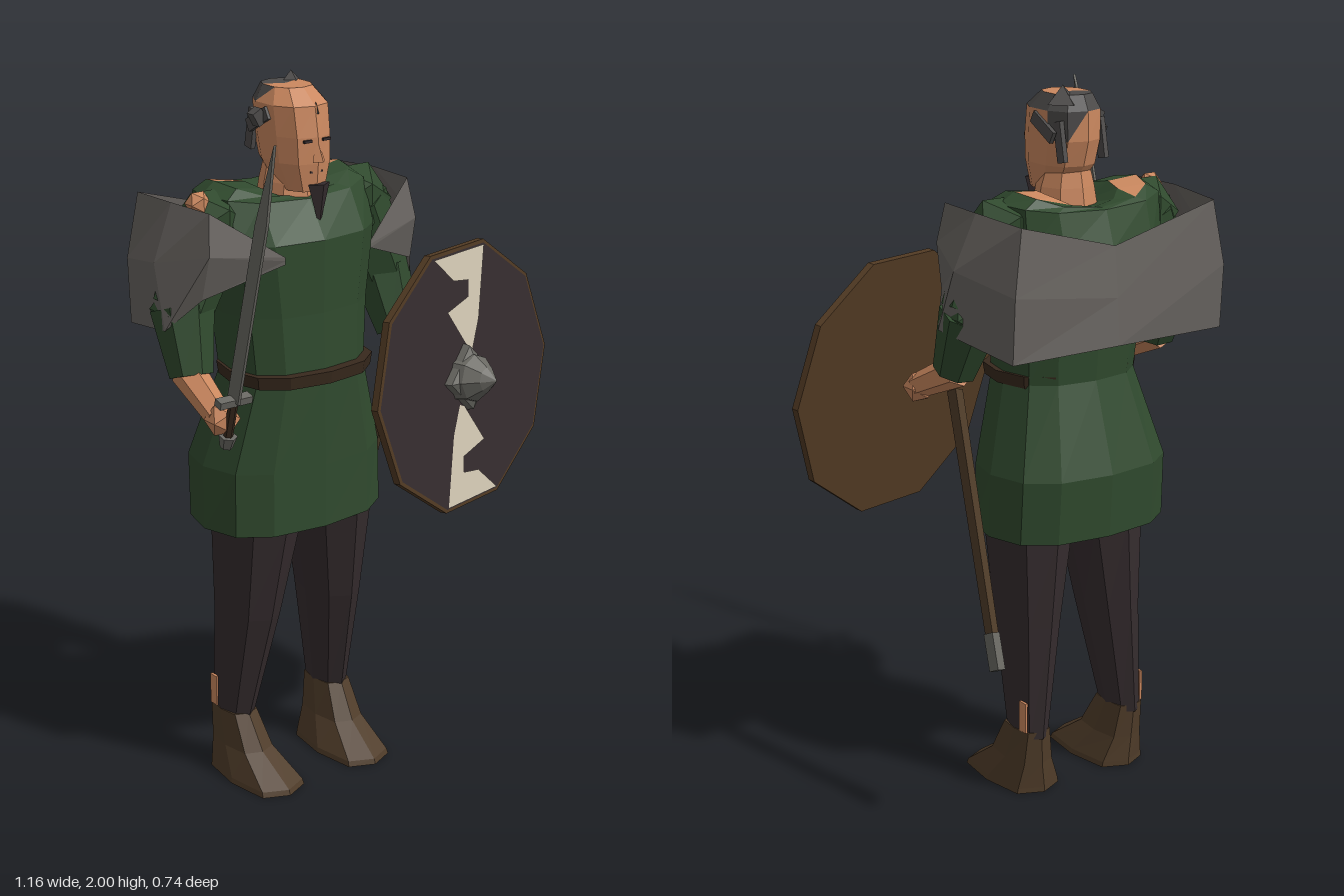
import * as THREE from 'three';

const mat = (name, color) => new THREE.MeshStandardMaterial({ name, color, flatShading: true });

export function createModel() {
  const green = mat('tunic green', 0x304a2e), skin = mat('skin', 0xcb885f), dark = mat('dark cloth', 0x352c2e);
  const leather = mat('boot leather', 0x4f3c29), grey = mat('cloak grey', 0x686460), cream = mat('cream paint', 0xd6cbb6);
  const wood = mat('shield wood', 0x513a23), hair = mat('hair grey', 0x4c4a49), steel = mat('steel', 0x696862);
  const belt = mat('belt brown', 0x38291d);
  grey.side = THREE.DoubleSide;

  const model = new THREE.Group();
  const body = new THREE.Group();
  body.name = 'warrior';
  body.position.x = -0.17;
  model.add(body);

  const add = (parent, name, geo, material, x = 0, y = 0, z = 0) => {
    const m = new THREE.Mesh(geo, material);
    m.name = name;
    m.position.set(x, y, z);
    parent.add(m);
    return m;
  };

  // Capped loft through rings [y, cx, cz, rx, rz, dip at front and back]; pick(x, y, z) chooses a material index per face
  function loft(rings, n, pow = 1, pick = () => 0) {
    const bend = v => Math.sign(v) * Math.abs(v) ** pow;
    const pt = ([y, cx, cz, rx, rz, dip = 0], i) => {
      const a = i / n * Math.PI * 2;
      return [cx + rx * bend(Math.sin(a)), y - dip * Math.cos(a) ** 2, cz + rz * bend(Math.cos(a))];
    };
    const pos = [], geo = new THREE.BufferGeometry();
    const tri = (...t) => {
      const c = [0, 1, 2].map(k => (t[0][k] + t[1][k] + t[2][k]) / 3);
      geo.addGroup(pos.length / 3, 3, pick(...c));
      pos.push(...t.flat());
    };
    const lo = rings[0], hi = rings[rings.length - 1];
    for (let i = 0; i < n; i++) {
      for (let j = 0; j + 1 < rings.length; j++) {
        const a = pt(rings[j], i), b = pt(rings[j], i + 1), c = pt(rings[j + 1], i + 1), d = pt(rings[j + 1], i);
        tri(a, b, c);
        tri(a, c, d);
      }
      tri([lo[1], lo[0], lo[2]], pt(lo, i + 1), pt(lo, i));
      tri([hi[1], hi[0], hi[2]], pt(hi, i), pt(hi, i + 1));
    }
    geo.setAttribute('position', new THREE.Float32BufferAttribute(pos, 3));
    geo.computeVertexNormals();
    return geo;
  }

  // Tapered limb between two points
  function limb(name, a, b, ra, rb, material, n = 6) {
    const p = new THREE.Vector3(...a), q = new THREE.Vector3(...b);
    const d = q.clone().sub(p);
    const m = add(body, name, new THREE.CylinderGeometry(rb, ra, d.length(), n), material);
    m.position.copy(p).add(q).multiplyScalar(0.5);
    m.quaternion.setFromUnitVectors(new THREE.Vector3(0, 1, 0), d.normalize());
    return m;
  }

  // Tunic with a dipped collar and bare patches on the shoulders
  add(body, 'tunic', loft([
    [0.77, 0, -0.1, 0.275, 0.19], [0.95, 0, -0.105, 0.272, 0.195], [1.2, 0, -0.065, 0.2, 0.155],
    [1.38, 0, -0.075, 0.215, 0.16], [1.58, 0, -0.1, 0.25, 0.19], [1.7, 0, -0.115, 0.25, 0.14, 0.02],
    [1.73, 0, -0.12, 0.205, 0.12, 0.045], [1.72, 0, -0.105, 0.12, 0.1, 0.04], [1.67, 0, -0.075, 0.075, 0.075],
  ], 12, 0.78, (x, y, z) => (y > 1.705 && Math.abs(x) > 0.12 && Math.abs(x) < 0.2 && z < -0.11 ? 1 : 0)), [green, skin]);
  add(body, 'belt', loft([[1.19, 0, -0.05, 0.21, 0.165], [1.225, 0, -0.05, 0.215, 0.17]], 12, 0.8), belt);

  // Legs, boots and arms, mirrored
  for (const s of [-1, 1]) {
    const side = s > 0 ? 'left' : 'right';
    add(body, side + 'Trouser', loft([
      [0.17, s * 0.165, -0.135, 0.045, 0.075], [0.5, s * 0.14, -0.095, 0.077, 0.118],
      [0.77, s * 0.122, -0.073, 0.112, 0.145], [0.9, s * 0.11, -0.08, 0.1, 0.09],
    ], 8), dark);
    add(body, side + 'Boot', loft([
      [0, s * 0.152, -0.04, 0.09, 0.16], [0.015, s * 0.152, -0.043, 0.087, 0.157],
      [0.09, s * 0.16, -0.1, 0.06, 0.1], [0.19, s * 0.165, -0.132, 0.047, 0.073],
    ], 8, 0.65), leather);
    add(body, side + 'AnklePatch', new THREE.BoxGeometry(0.008, 0.09, 0.03), skin, s * 0.205, 0.235, -0.17);

    const shoulder = [s * 0.235, 1.62, -0.1], elbow = [s * 0.33, 1.41, -0.1], cuff = [s * 0.345, 1.24, -0.04];
    add(body, side + 'Shoulder', new THREE.IcosahedronGeometry(0.11, 0), green, ...shoulder);
    limb(side + 'UpperSleeve', shoulder, elbow, 0.1, 0.085, green, 7);
    limb(side + 'LowerSleeve', elbow, cuff, 0.088, 0.06, green, 7);
    add(body, side + 'Elbow', new THREE.IcosahedronGeometry(0.085, 0), green, ...elbow);
    limb(side + 'Forearm', [s * 0.345, 1.25, -0.06], [s * 0.36, 1.17, 0.11], 0.047, 0.036, skin);
    add(body, side + 'Hand', new THREE.IcosahedronGeometry(0.048, 0), skin, s * 0.355, 1.165, 0.115);
  }
  add(body, 'rightShoulderPatch', new THREE.IcosahedronGeometry(0.035, 0), skin, -0.285, 1.69, -0.08);

  // Head and neck with hair on the crown
  add(body, 'neck', loft([[1.6, 0, -0.07, 0.1, 0.1], [1.72, 0, -0.07, 0.08, 0.08], [1.79, 0, -0.075, 0.06, 0.06]], 8), skin);
  add(body, 'head', loft([
    [1.705, 0, -0.02, 0.055, 0.075], [1.78, 0, -0.045, 0.08, 0.108], [1.85, 0, -0.055, 0.084, 0.118],
    [1.93, 0, -0.06, 0.087, 0.11], [1.972, 0, -0.075, 0.06, 0.075],
  ], 10, 0.85, (x, y, z) => ((y > 1.93 && (z < -0.08 || x > 0.05)) || (y > 1.86 && x > 0.02 && z < -0.1) ? 1 : 0)),
  [skin, hair]);
  add(body, 'hairPeak', new THREE.ConeGeometry(0.05, 0.05, 4), hair, 0.04, 1.972, -0.11);
  add(body, 'forelock', new THREE.ConeGeometry(0.014, 0.03, 3), hair, 0.008, 1.925, 0.043);
  const nose = add(body, 'nose', new THREE.ConeGeometry(0.02, 0.07, 4), skin, 0, 1.82, 0.06);
  nose.rotation.x = -0.15;
  add(body, 'mouth', new THREE.BoxGeometry(0.04, 0.005, 0.008), dark, 0, 1.758, 0.052);
  const beard = add(body, 'beard', new THREE.ConeGeometry(0.035, 0.12, 4), dark, 0.008, 1.665, 0.055);
  beard.rotation.x = Math.PI;
  beard.scale.z = 0.6;
  for (const s of [-1, 1]) {
    add(body, 'eye', new THREE.BoxGeometry(0.025, 0.007, 0.008), dark, s * 0.03, 1.842, 0.058);
    const lock = add(body, 'sideHair', new THREE.BoxGeometry(0.012, 0.035, 0.1), hair, s * 0.085, 1.885, -0.085);
    lock.rotation.x = -0.5;
    const nape = add(body, 'napeHair', new THREE.BoxGeometry(0.014, 0.11, 0.03), hair, s * 0.068, 1.85, -0.14);
    nape.rotation.x = 0.2;
  }
  add(body, 'hairTuft', new THREE.BoxGeometry(0.03, 0.04, 0.03), hair, -0.1, 1.895, -0.07).rotation.z = 0.5;

  // Cloak band: top, middle and bottom points from the front tip round to the middle of the back
  const half = [
    [[0.14, 1.56, 0.105], [0.14, 1.55, 0.105], [0.14, 1.54, 0.105]],
    [[0.325, 1.69, 0.03], [0.34, 1.58, 0.05], [0.345, 1.46, 0.02]],
    [[0.335, 1.69, -0.13], [0.4, 1.54, -0.12], [0.41, 1.37, -0.06]],
    [[0.32, 1.68, -0.315], [0.35, 1.5, -0.33], [0.35, 1.32, -0.32]],
    [[0, 1.59, -0.295], [0, 1.45, -0.31], [0, 1.32, -0.32]],
  ];
  const stations = [...half, ...half.slice(0, 4).reverse().map(r => r.map(([x, y, z]) => [-x, y, z]))];
  const index = [];
  for (let i = 0; i + 1 < stations.length; i++) {
    for (let j = 0; j < 2; j++) {
      const a = i * 3 + j, b = a + 3;
      index.push(a, b, a + 1, b, b + 1, a + 1);
    }
  }
  let cloak = new THREE.BufferGeometry();
  cloak.setAttribute('position', new THREE.Float32BufferAttribute(stations.flat(2), 3));
  cloak.setIndex(index);
  cloak = cloak.toNonIndexed();
  cloak.computeVertexNormals();
  add(body, 'cloak', cloak, grey);

  // Flattened scabbard on the left hip
  limb('scabbard', [0.33, 1.18, -0.02], [0.41, 0.54, -0.32], 0.036, 0.03, leather, 4).scale.x = 0.6;
  limb('scabbardTip', [0.405, 0.58, -0.3], [0.417, 0.49, -0.345], 0.036, 0.036, steel, 4).scale.x = 0.6;

  // Sword in the right hand
  const sword = new THREE.Group();
  sword.name = 'sword';
  sword.position.set(-0.525, 1.23, 0.17);
  sword.rotation.x = 0.27;
  model.add(sword);
  const outline = [[-0.024, 0], [0.024, 0], [0.022, 0.52], [0, 0.728], [-0.024, 0.5]].map(p => new THREE.Vector2(...p));
  const blade = new THREE.ExtrudeGeometry(new THREE.Shape(outline), { depth: 0.008, bevelEnabled: false });
  add(sword, 'blade', blade.translate(0, 0, -0.004).rotateY(-Math.PI / 2), steel);
  add(sword, 'guard', new THREE.BoxGeometry(0.1, 0.02, 0.028), steel);
  add(sword, 'grip', new THREE.CylinderGeometry(0.013, 0.013, 0.12, 6), belt, 0, -0.06, 0);
  add(sword, 'pommel', new THREE.CylinderGeometry(0.025, 0.017, 0.035, 6), steel, 0, -0.125, 0);

  // Ten-sided shield, turned outwards and leaning back
  const shield = new THREE.Group();
  shield.name = 'shield';
  shield.position.set(0.205, 1.16, 0.213);
  shield.rotation.set(-0.09, 0.223, 0, 'YXZ');
  model.add(shield);
  add(shield, 'shieldBoard', new THREE.CylinderGeometry(0.38, 0.38, 0.022, 10).rotateX(Math.PI / 2).rotateZ(Math.PI / 2), wood);
  add(shield, 'shieldFace', new THREE.CircleGeometry(0.37, 10), dark, 0, 0, 0.013);
  const jag = [[-0.11, 0.348], [0.112, 0.348], [0.07, 0.15], [0.035, 0.07], [0.015, 0.08], [-0.065, 0.195],
    [0.03, 0.22], [0.035, 0.265], [-0.03, 0.275]].map(p => new THREE.Vector2(...p));
  for (const turn of [0, Math.PI]) {
    add(shield, 'shieldStripe', new THREE.ShapeGeometry(new THREE.Shape(jag)), cream, 0, 0, 0.016).rotation.z = turn;
  }
  // Boss: a diamond base carrying a pointed dome
  const lathe = (points, sides) => new THREE.LatheGeometry(points.map(p => new THREE.Vector2(...p)), sides).rotateX(Math.PI / 2);
  add(shield, 'bossBase', lathe([[0.094, 0.012], [0.09, 0.035], [0, 0.07]], 4), steel);
  add(shield, 'bossDome', lathe([[0.072, 0.012], [0.066, 0.05], [0.035, 0.088], [0, 0.12]], 8), steel);

  return model;
}
